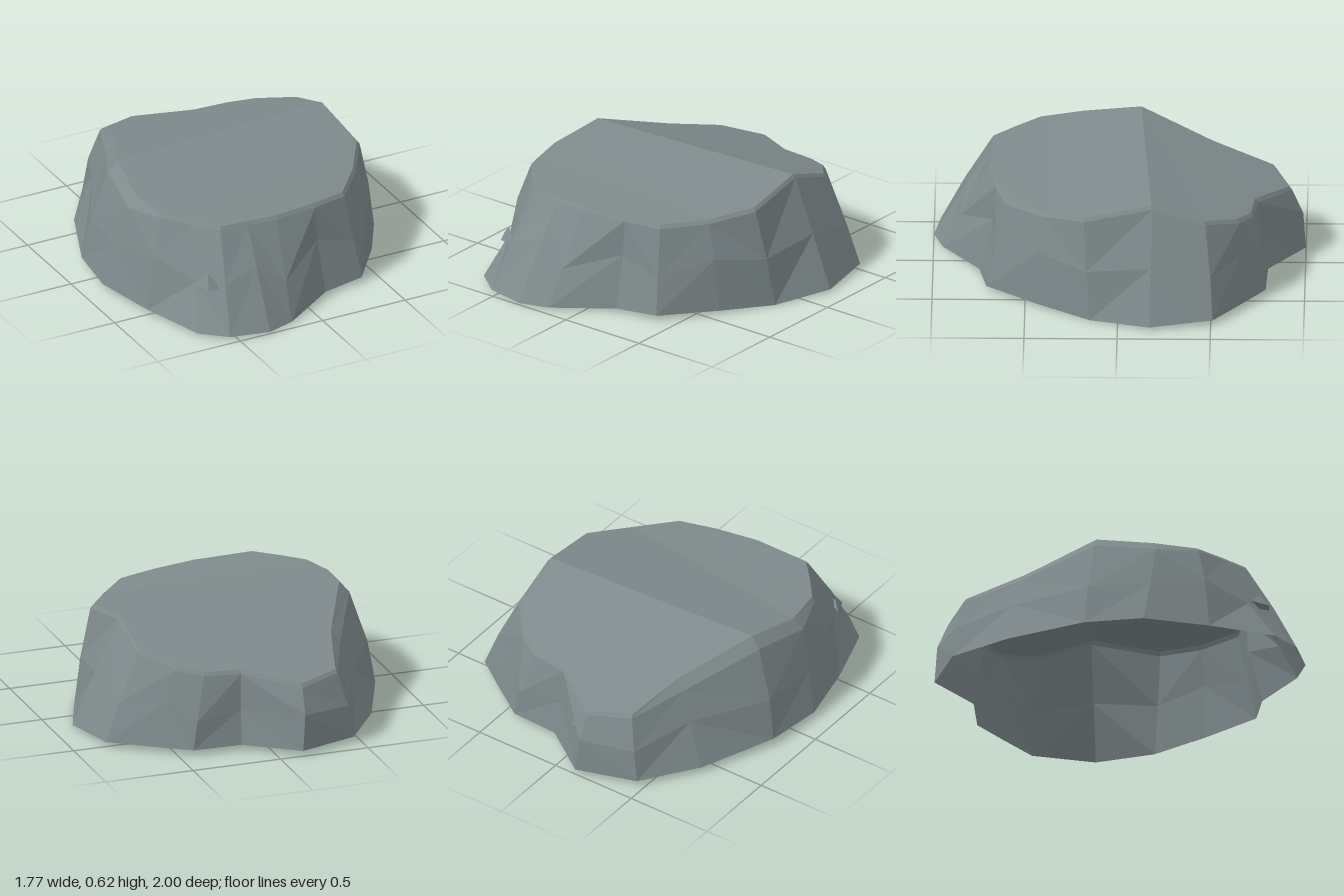
import * as THREE from 'three';

// Footprint on the ground, clockwise from the back: x, y, z
const base = [
  [-0.13, 0.03, -1], [0.15, 0.03, -0.8], [0.42, 0.03, -0.79], [0.61, 0.03, -0.66], [0.82, 0.03, -0.51],
  [0.885, 0.015, -0.17], [0.76, 0, 0.15], [0.6, 0.02, 0.43], [0.39, 0.03, 0.71], [0.15, 0.02, 0.75],
  [-0.16, 0.01, 0.95], [-0.32, 0.01, 1], [-0.54, 0.015, 0.96], [-0.68, 0.02, 0.85], [-0.8, 0.03, 0.5],
  [-0.885, 0.04, 0.15], [-0.845, 0.04, -0.17], [-0.67, 0.03, -0.59], [-0.46, 0.03, -0.89],
].map((p) => new THREE.Vector3(...p));

// Edge of the top plateau: x, y, z
const top = [
  [-0.15, 0.38, -0.91], [0.13, 0.435, -0.73], [0.33, 0.44, -0.71], [0.46, 0.465, -0.64], [0.61, 0.52, -0.46],
  [0.62, 0.615, -0.18], [0.64, 0.55, 0.18], [0.5, 0.517, 0.4], [0.33, 0.51, 0.6], [0.13, 0.518, 0.65],
  [-0.12, 0.525, 0.69], [-0.29, 0.53, 0.685], [-0.45, 0.535, 0.68], [-0.56, 0.542, 0.56], [-0.67, 0.548, 0.43],
  [-0.71, 0.565, 0.2], [-0.66, 0.615, -0.11], [-0.47, 0.5, -0.5], [-0.38, 0.405, -0.82],
].map((p) => new THREE.Vector3(...p));

// Height of the facet break in each column, and how far it bulges
const breakAt = [0.6, 0.5, 0.4, 0.6, 0.45, 0.5, 0.5, 0.6, 0.45, 0.6, 0.4, 0.62, 0.5, 0.45, 0.6, 0.5, 0.45, 0.6, 0.5];
const bulge = [0.03, -0.01, 0.02, 0, 0.01, 0, 0.01, 0.02, 0, -0.02, 0, 0.01, 0.01, -0.03, 0.02, 0, 0.02, 0, 0.02];

const N = base.length;
const outward = (p) => new THREE.Vector3(p.x, 0, p.z).normalize();

function meshFrom(name, triangles, material) {
  const geometry = new THREE.BufferGeometry().setFromPoints(triangles.flat());
  geometry.computeVertexNormals(); // unshared corners keep the facets flat
  const mesh = new THREE.Mesh(geometry, material);
  mesh.name = name;
  return mesh;
}

// Faceted band between two rings, with alternating diagonals
function band(lower, upper) {
  const out = [];
  for (let i = 0; i < N; i++) {
    const j = (i + 1) % N;
    const [a, b, c, d] = [lower[i], lower[j], upper[j], upper[i]];
    if (i % 2) out.push([a, d, b], [b, d, c]);
    else out.push([a, d, c], [a, c, b]);
  }
  return out;
}

// Fill a polygon of plateau points with upward faces
function fill(indices) {
  const pts = indices.map((i) => top[i]);
  const flat = pts.map((p) => new THREE.Vector2(p.x, p.z));
  return THREE.ShapeUtils.triangulateShape(flat, []).map(([a, b, c]) => {
    const up = (flat[b].x - flat[a].x) * (flat[c].y - flat[a].y)
      - (flat[b].y - flat[a].y) * (flat[c].x - flat[a].x) < 0;
    return (up ? [a, b, c] : [a, c, b]).map((k) => pts[k]);
  });
}

// Thin chipped ledge standing out from the wall
function ledge(x, y, z, width, depth) {
  const centre = new THREE.Vector3(x, y, z);
  const out = outward(centre);
  const side = new THREE.Vector3(out.z, 0, -out.x);
  const at = (s, h, d) => centre.clone().addScaledVector(side, s).addScaledVector(out, d).setY(y + h);
  const l = at(-width, 0.01, -0.03), r = at(width, -0.005, -0.03);
  const tip = at(0.01, 0, depth), crown = at(0, 0.07, -0.03), under = at(0, -0.012, -0.03);
  return [[l, tip, crown], [tip, r, crown], [l, under, tip], [tip, under, r]];
}

export function createModel() {
  const rock = new THREE.MeshStandardMaterial({ color: 0x7f8a8c, side: THREE.DoubleSide });
  rock.name = 'grey stone';
  const group = new THREE.Group();
  group.name = 'rock';

  // Worn rim just outside the plateau, wider on the left and back left
  const rim = top.map((p, i) => {
    const wide = i >= 15 && i <= 17;
    return p.clone().addScaledVector(outward(p), wide ? 0.055 : 0.015).setY(p.y - (wide ? 0.06 : 0.02));
  });
  const middle = base.map((p, i) => p.clone().lerp(rim[i], breakAt[i]).addScaledVector(outward(p), bulge[i]));

  group.add(meshFrom('lowerWall', band(base, middle), rock));
  group.add(meshFrom('upperWall', band(middle, rim), rock));
  group.add(meshFrom('wornRim', band(rim, top), rock));

  // Plateau in three slopes meeting at the ridge and a shallow crease
  group.add(meshFrom('backSlope', fill([16, 17, 18, 0, 1, 2, 3, 4, 5]), rock));
  group.add(meshFrom('middleSlope', fill([5, 6, 7, 15, 16]), rock));
  group.add(meshFrom('frontSlope', fill([7, 8, 9, 10, 11, 12, 13, 14, 15]), rock));

  // Chips in the front, back and left walls
  group.add(meshFrom('frontChip', ledge(-0.59, 0.24, 0.79, 0.08, 0.02), rock));
  group.add(meshFrom('backChip', ledge(-0.13, 0.25, -0.94, 0.08, 0.01), rock));
  group.add(meshFrom('sideChip', ledge(-0.77, 0.36, 0.13, 0.06, 0.02), rock));
  return group;
}
